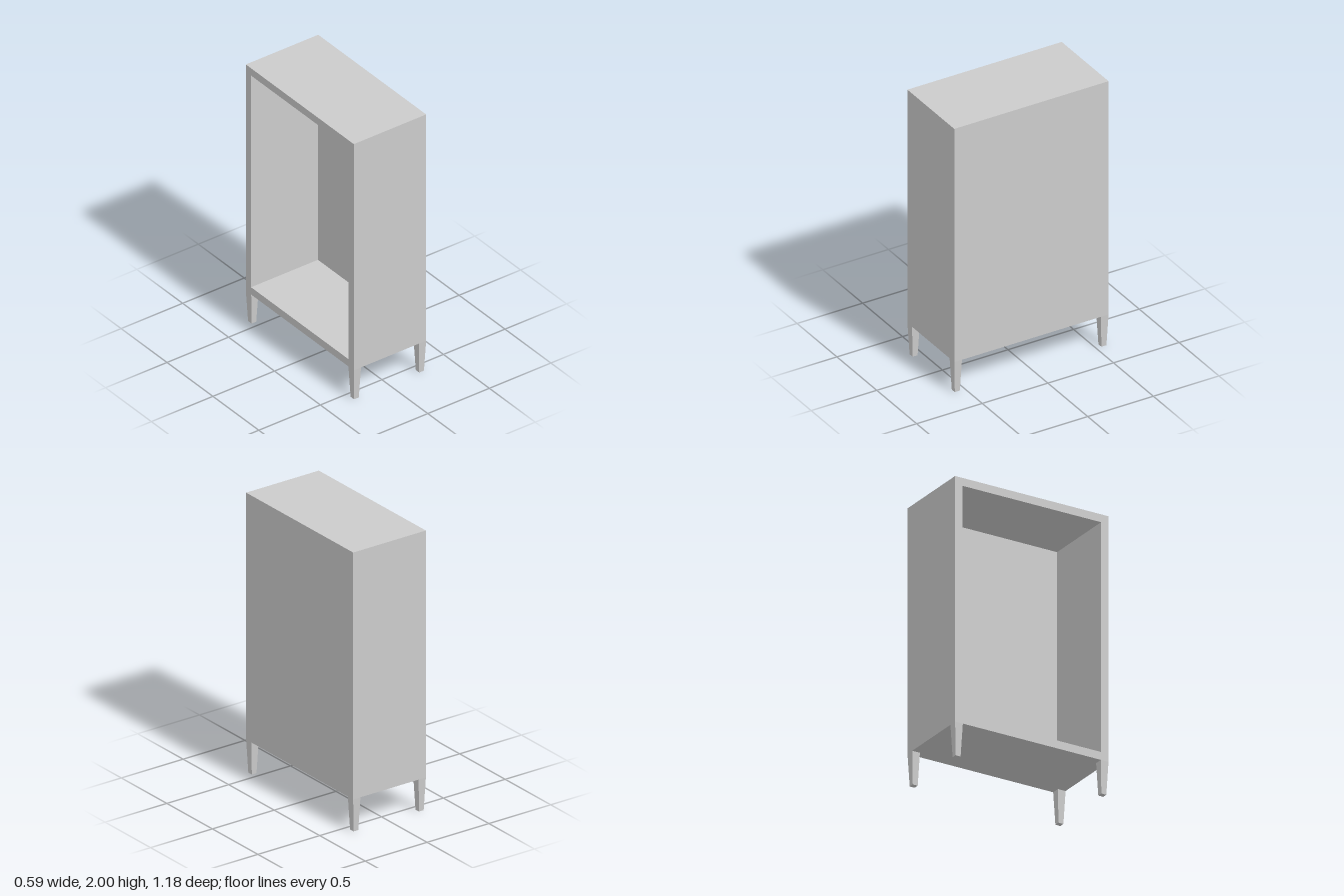
import * as THREE from 'three';

const WIDTH = 0.588, LENGTH = 1.176, TOP = 2, LEG_H = 0.235;
const WALL = 0.057, BACK = 0.045;
const LEG_TOP = 0.0588, LEG_BOTTOM = 0.038;

const material = new THREE.MeshStandardMaterial({ color: 0xcccccc, flatShading: true });

function addMesh(parent, name, geometry, x, y, z) {
  const mesh = new THREE.Mesh(geometry, material);
  mesh.name = name;
  mesh.position.set(x, y, z);
  parent.add(mesh);
  return mesh;
}

// Rectangle outline centred on x = 0
function rectangle(PathType, halfWidth, bottom, top) {
  return new PathType([
    new THREE.Vector2(-halfWidth, bottom),
    new THREE.Vector2(halfWidth, bottom),
    new THREE.Vector2(halfWidth, top),
    new THREE.Vector2(-halfWidth, top),
  ]);
}

export function createModel() {
  const cabinet = new THREE.Group();
  cabinet.name = 'cabinet';

  // Four walls as one frame, open towards -x
  const outline = rectangle(THREE.Shape, LENGTH / 2, LEG_H, TOP);
  outline.holes.push(rectangle(THREE.Path, LENGTH / 2 - WALL, LEG_H + WALL, TOP - WALL));
  const frame = new THREE.ExtrudeGeometry(outline, { depth: WIDTH - BACK, bevelEnabled: false });
  frame.rotateY(-Math.PI / 2);
  addMesh(cabinet, 'caseFrame', frame, WIDTH / 2 - BACK, 0, 0);

  // Panel closing the +x side
  const height = TOP - LEG_H;
  addMesh(cabinet, 'backPanel', new THREE.BoxGeometry(BACK, height, LENGTH),
    (WIDTH - BACK) / 2, LEG_H + height / 2, 0);

  // Square legs tapering to the floor, flush with the case corners
  const leg = new THREE.CylinderGeometry(LEG_TOP * Math.SQRT1_2, LEG_BOTTOM * Math.SQRT1_2, LEG_H, 4);
  leg.rotateY(Math.PI / 4);
  for (const [sideName, sx] of [['Left', 1], ['Right', -1]]) {
    for (const [endName, sz] of [['front', 1], ['back', -1]]) {
      addMesh(cabinet, `${endName}${sideName}Leg`, leg,
        sx * (WIDTH - LEG_TOP) / 2, LEG_H / 2, sz * (LENGTH - LEG_TOP) / 2);
    }
  }

  return cabinet;
}
